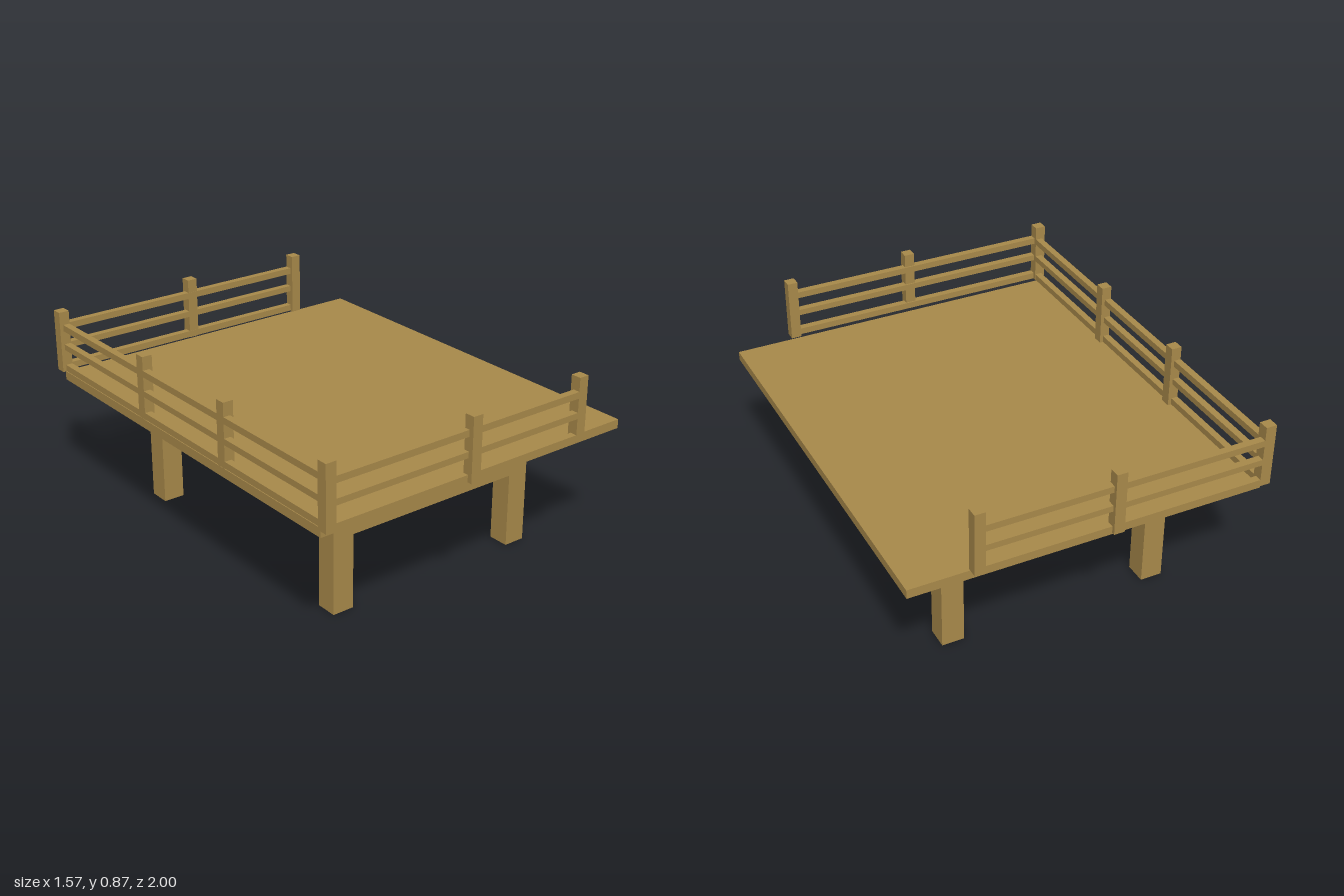
import * as THREE from 'three';

export function createModel() {
  const model = new THREE.Group();
  model.name = 'railedPlatform';

  const wood = new THREE.MeshStandardMaterial({ color: 0xa8894a, side: THREE.DoubleSide });
  wood.name = 'wood';

  // Box given by its limits on each axis; openBottom drops the underside
  function block(name, [x0, x1], [y0, y1], [z0, z1], parent, openBottom = false) {
    const geometry = new THREE.BoxGeometry(x1 - x0, y1 - y0, z1 - z0);
    if (openBottom) {
      const index = Array.from(geometry.index.array);
      index.splice(18, 6); // the fourth face is the underside
      geometry.setIndex(index);
      geometry.clearGroups();
    }
    const mesh = new THREE.Mesh(geometry, wood);
    mesh.name = name;
    mesh.position.set((x0 + x1) / 2, (y0 + y1) / 2, (z0 + z1) / 2);
    parent.add(mesh);
  }

  function group(name) {
    const g = new THREE.Group();
    g.name = name;
    model.add(g);
    return g;
  }

  // Deck
  block('deck', [-0.772, 0.785], [0.547, 0.587], [-0.947, 0.925], model);

  // Hollow legs and the beams joining them
  const base = group('base');
  const legX = [[-0.51, -0.412], [0.427, 0.525]];
  const legZ = [[-0.68, -0.582], [0.57, 0.665]];
  for (const x of legX) for (const z of legZ) block('leg', x, [0, 0.547], z, base, true);
  const beamY = [0.332, 0.43];
  for (const x of legX) block('sideBeam', x, beamY, [legZ[0][1], legZ[1][0]], base);
  for (const z of legZ) block('crossBeam', [legX[0][1], legX[1][0]], beamY, z, base);

  // Railings on three sides, open at +x
  const postY = [0.588, 0.868];
  const railY = [[0.59, 0.619], [0.69, 0.717], [0.779, 0.808]];

  const ends = [
    { name: 'frontRailing', rail: [0.945, 0.977], corner: [0.93, 0.977], middle: [0.952, 0.998] },
    { name: 'backRailing', rail: [-0.985, -0.953], corner: [-0.985, -0.938], middle: [-1, -0.954] },
  ];
  for (const { name, rail, corner, middle } of ends) {
    const railing = group(name);
    block('cornerPost', [-0.788, -0.74], postY, corner, railing);
    block('middlePost', [-0.107, -0.06], postY, middle, railing);
    block('endPost', [0.48, 0.526], postY, corner, railing);
    for (const y of railY) block('rail', [-0.745, 0.485], y, rail, railing);
  }

  const side = group('sideRailing');
  for (const z of [[-0.318, -0.271], [0.268, 0.315]]) block('sidePost', [-0.772, -0.726], postY, z, side);
  for (const y of railY) block('rail', [-0.772, -0.741], y, [-0.94, 0.932], side);

  return model;
}
